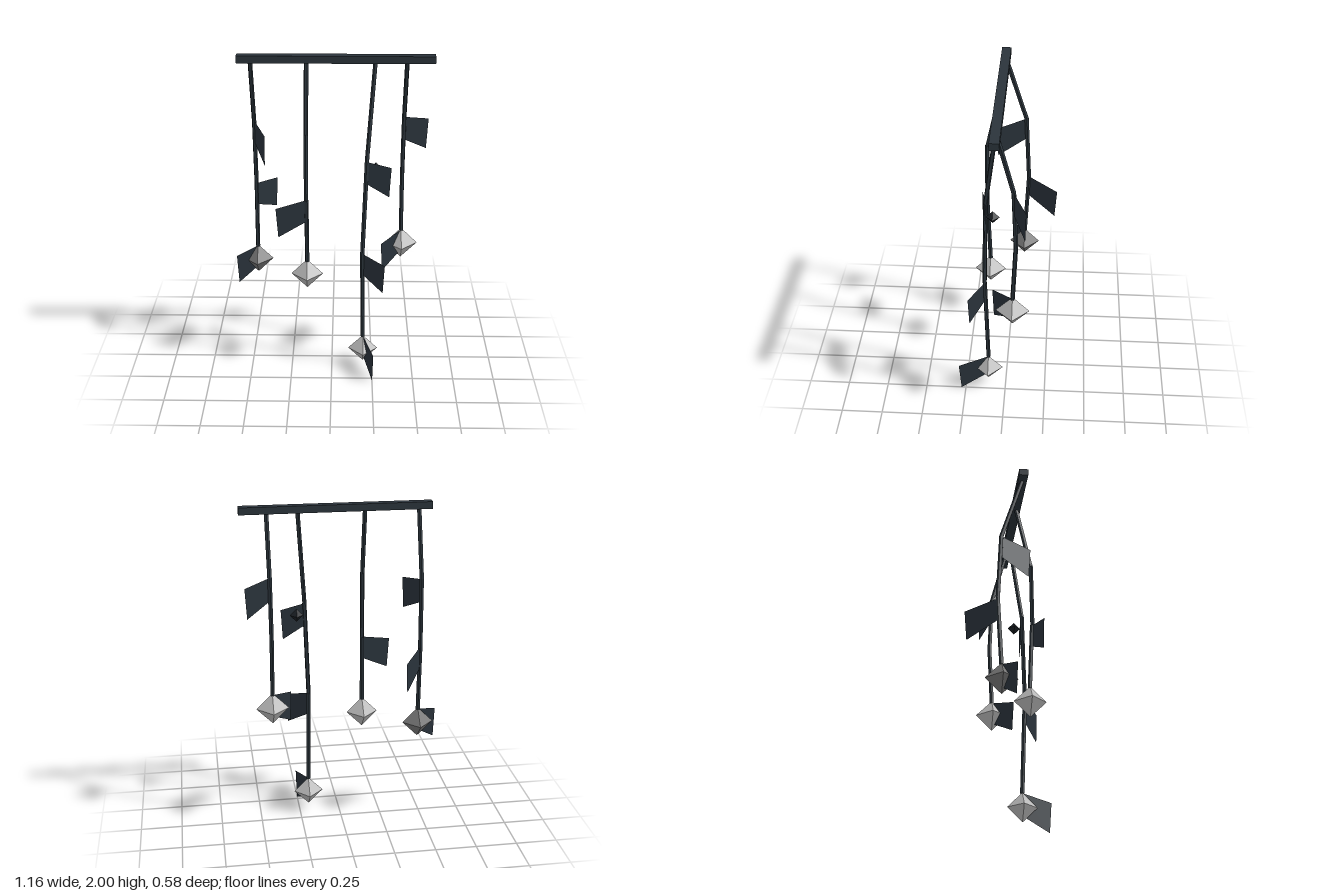
import * as THREE from 'three';

const V = (a) => new THREE.Vector3(...a);

// Strands: joints from bar to stone; leaves as [joint, dx, dz]
const STRANDS = [
  { stone: 'dark', r: 0.093, at: [-0.459, 0.665, -0.087],
    joints: [[-0.46, 1.97, 0.035], [-0.459, 1.57, -0.09], [-0.458, 1.16, -0.109], [-0.459, 0.75, -0.087]],
    leaves: [[1, 0.075, 0.18], [2, 0.116, -0.18], [3, -0.125, 0.075]] },
  { stone: 'pale', r: 0.095, at: [-0.148, 0.665, 0.113],
    joints: [[-0.145, 1.97, 0.035], [-0.147, 1.56, 0.124], [-0.149, 1.155, 0.129], [-0.148, 0.75, 0.113]],
    leaves: [[2, -0.177, 0.046]] },
  { stone: 'pale', r: 0.09, at: [0.193, 0.138, 0.108],
    joints: [[0.245, 1.97, 0.035], [0.203, 1.39, 0.112], [0.183, 0.805, 0.125], [0.193, 0.225, 0.108]],
    leaves: [[1, 0.142, 0], [2, 0.132, 0.092], [3, 0.062, 0.182]] },
  { stone: 'pale', r: 0.098, at: [0.42, 0.795, -0.054],
    joints: [[0.422, 1.97, 0.035], [0.419, 1.606, -0.058], [0.418, 1.245, -0.071], [0.42, 0.88, -0.054]],
    leaves: [[1, 0.148, -0.075], [3, -0.125, 0.125]] },
];

// Five-sided rod between two points
function rod(a, b, radius, material) {
  const dir = b.clone().sub(a);
  const mesh = new THREE.Mesh(new THREE.CylinderGeometry(radius, radius, dir.length() + 0.004, 5), material);
  mesh.position.copy(a).add(b).multiplyScalar(0.5);
  mesh.quaternion.setFromUnitVectors(new THREE.Vector3(0, 1, 0), dir.normalize());
  mesh.name = 'vineSegment';
  return mesh;
}

// Flat four-cornered leaf, hanging from its inner top corner
function leaf(joint, dx, dz, material) {
  const w = Math.hypot(dx, dz);
  const shape = new THREE.Shape([[0, 0], [0, -0.138], [w * 0.93, -0.22], [w, -0.036]]
    .map(([x, y]) => new THREE.Vector2(x, y)));
  const mesh = new THREE.Mesh(new THREE.ShapeGeometry(shape), material);
  mesh.position.copy(joint);
  mesh.rotation.y = Math.atan2(-dz, dx);
  mesh.name = 'leaf';
  return mesh;
}

function octahedron(name, radius, at, material) {
  const mesh = new THREE.Mesh(new THREE.OctahedronGeometry(radius), material);
  mesh.position.copy(V(at));
  mesh.name = name;
  return mesh;
}

export function createModel() {
  const mat = (name, color) => {
    const m = new THREE.MeshStandardMaterial({ color });
    m.name = name;
    return m;
  };
  const wood = mat('darkSlate', 0x2b343b);
  const leafMat = mat('leafSlate', 0x29323a);
  leafMat.side = THREE.DoubleSide;
  const budMat = mat('nearBlack', 0x1a1f24);
  const stones = { pale: mat('paleGrey', 0xbcbcbc), dark: mat('midGrey', 0x777777) };
  wood.flatShading = true;

  const model = new THREE.Group();
  model.name = 'hangingVines';

  // Top bar
  const bar = new THREE.Mesh(new THREE.BoxGeometry(1.115, 0.042, 0.054), wood);
  bar.position.set(0.022, 1.979, 0.034);
  bar.name = 'topBar';
  model.add(bar);

  // Vines with leaves and end stones
  for (const s of STRANDS) {
    const strand = new THREE.Group();
    strand.name = 'strand';
    const pts = s.joints.map(V);
    for (let i = 0; i < 3; i++) strand.add(rod(pts[i], pts[i + 1], 0.0135, wood));
    for (const [j, dx, dz] of s.leaves) strand.add(leaf(pts[j], dx, dz, leafMat));
    strand.add(octahedron('stone', s.r, s.at, stones[s.stone]));
    model.add(strand);
  }

  // Small bud behind the upper leaf of the long vine
  model.add(octahedron('bud', 0.04, [0.255, 1.332, 0.068], budMat));
  return model;
}
